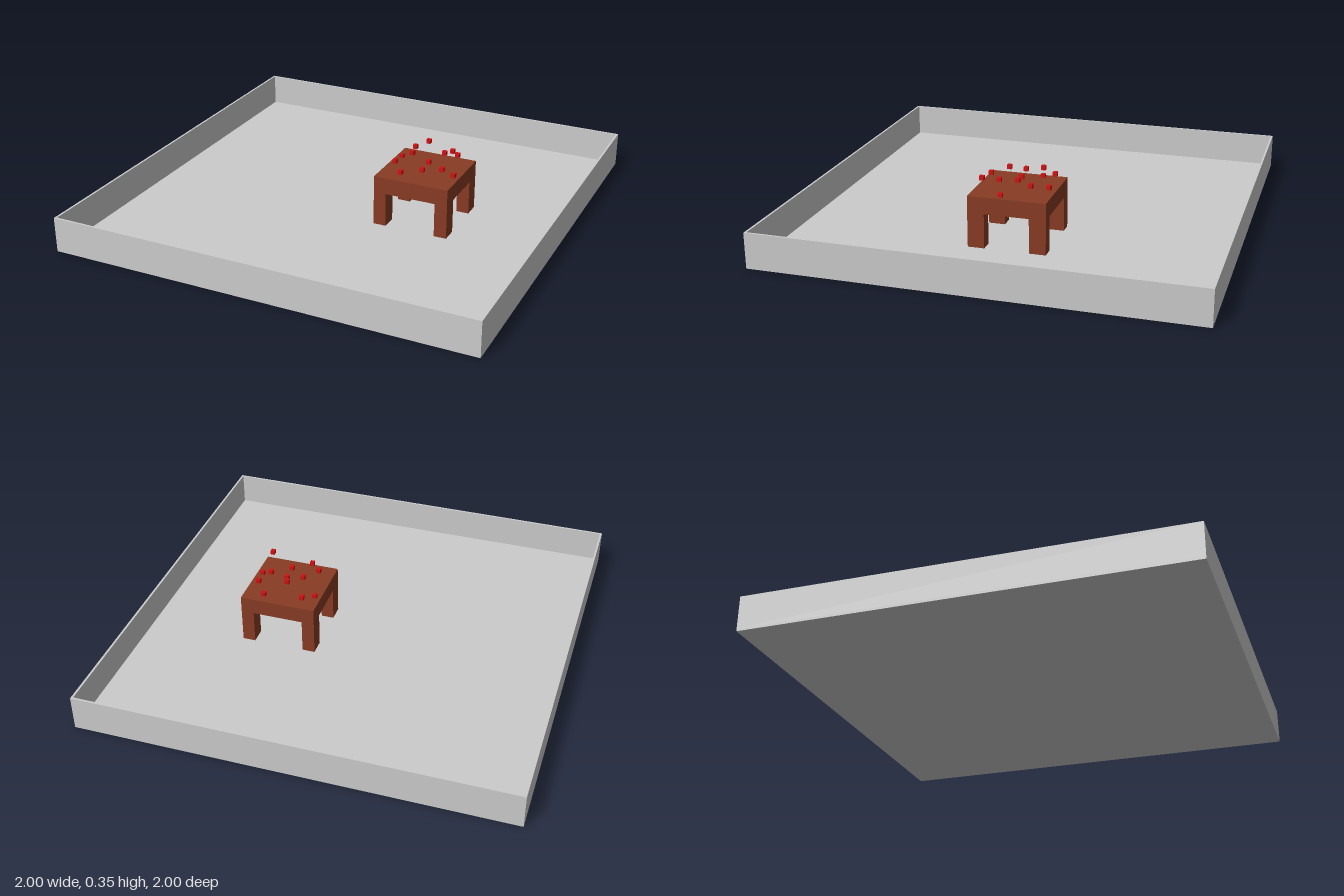
import * as THREE from 'three';

const grey = new THREE.MeshStandardMaterial({ color: 0xcccccc });
const brown = new THREE.MeshStandardMaterial({ color: 0x883b24 });
const red = new THREE.MeshStandardMaterial({ color: 0xd01010 });

// Box placed by its centre in x and z and by its base in y
function box(parent, name, material, [w, h, d], [x, base, z]) {
  const mesh = new THREE.Mesh(new THREE.BoxGeometry(w, h, d), material);
  mesh.name = name;
  mesh.position.set(x, base + h / 2, z);
  parent.add(mesh);
}

function group(parent, name, x = 0, z = 0) {
  const g = new THREE.Group();
  g.name = name;
  g.position.set(x, 0, z);
  parent.add(g);
  return g;
}

export function createModel() {
  const model = new THREE.Group();
  model.name = 'tableInTray';
  const wall = 0.01, floor = 0.01, height = 0.165;

  // Shallow open tray: floor and four thin walls
  const tray = group(model, 'tray');
  box(tray, 'floor', grey, [2, floor, 2], [0, 0, 0]);
  for (const s of [-1, 1]) {
    const offset = s * (1 - wall / 2);
    box(tray, 'sideWall', grey, [wall, height - floor, 2], [offset, floor, 0]);
    box(tray, 'endWall', grey, [2 - 2 * wall, height - floor, wall], [0, floor, offset]);
  }

  // Table standing on the floor, off centre
  const table = group(model, 'table', 0.345, -0.015);
  const size = 0.36, underside = 0.172, legW = 0.06, legD = 0.077;
  box(table, 'tableTop', brown, [size, 0.25 - underside, size], [0, underside, 0]);
  for (const sx of [-1, 1]) for (const sz of [-1, 1]) {
    box(table, 'leg', brown, [legW, underside - floor, legD],
      [sx * (size - legW) / 2, floor, sz * (size - legD) / 2]);
  }

  // Small cubes floating above the table: centres x, y, z
  const cubes = group(model, 'floatingCubes');
  const cube = 0.02;
  const centres = [
    [0.235, 0.286, -0.156], [0.414, 0.286, -0.178], [0.315, 0.34, -0.125],
    [0.195, 0.256, -0.088], [0.465, 0.303, -0.109], [0.421, 0.327, -0.055],
    [0.271, 0.311, -0.031], [0.358, 0.285, -0.018], [0.496, 0.259, 0.02],
    [0.225, 0.297, 0.062], [0.362, 0.281, 0.068], [0.282, 0.281, 0.132],
    [0.475, 0.323, 0.111],
  ];
  for (const [x, y, z] of centres) {
    box(cubes, 'cube', red, [cube, cube, cube], [x, y - cube / 2, z]);
  }
  return model;
}
